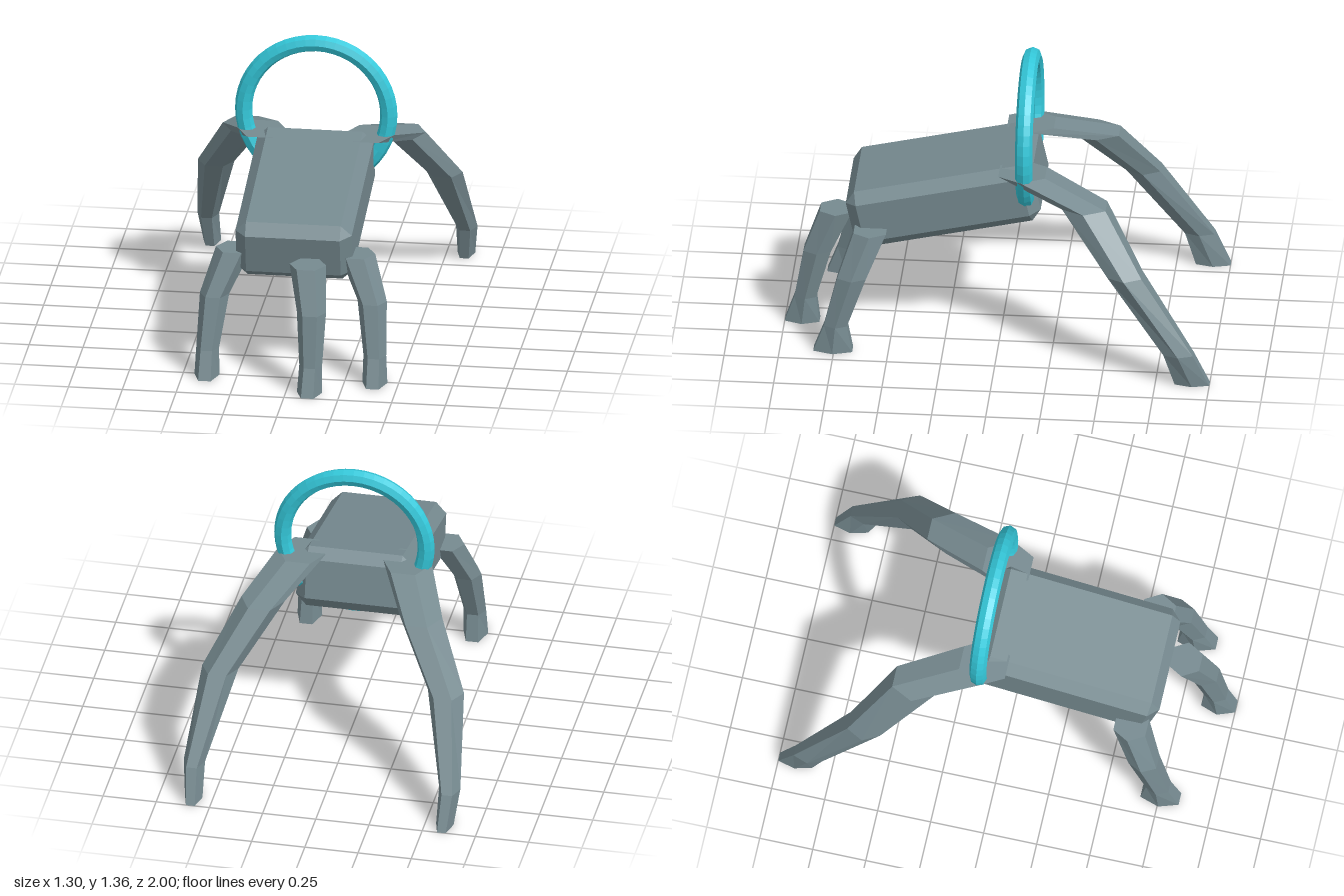
import * as THREE from 'three';
import { ConvexGeometry } from 'three/addons/geometries/ConvexGeometry.js';

const SIDES = 6;

// Box with every edge and corner chamfered by c (half sizes hx, hy, hz)
function chamferedBox(hx, hy, hz, c) {
  const points = [];
  for (const x of [-1, 1]) for (const y of [-1, 1]) for (const z of [-1, 1]) {
    points.push(
      new THREE.Vector3(x * hx, y * (hy - c), z * (hz - c)),
      new THREE.Vector3(x * (hx - c), y * hy, z * (hz - c)),
      new THREE.Vector3(x * (hx - c), y * (hy - c), z * hz));
  }
  return new ConvexGeometry(points);
}

// Six-sided limb through horizontal sections [x, y, z, half width, half depth], top to bottom
function limb(sections, side = 1) {
  const positions = [], index = [];
  for (const [x, y, z, hw, hd] of sections) {
    for (let j = 0; j < SIDES; j++) {
      const a = j / SIDES * Math.PI * 2;
      positions.push(side * x + Math.cos(a) * hw, y, z + Math.sin(a) * hd / Math.sin(Math.PI / 3));
    }
  }
  const last = (sections.length - 1) * SIDES;
  for (let i = 0; i < last; i += SIDES) {
    for (let j = 0; j < SIDES; j++) {
      const a = i + j, b = i + (j + 1) % SIDES;
      index.push(a, b, a + SIDES, b, b + SIDES, a + SIDES);
    }
  }
  for (let j = 1; j < SIDES - 1; j++) {
    index.push(0, j + 1, j, last, last + j, last + j + 1);
  }
  const geometry = new THREE.BufferGeometry();
  geometry.setAttribute('position', new THREE.Float32BufferAttribute(positions, 3));
  geometry.setIndex(index);
  const flat = geometry.toNonIndexed();
  flat.computeVertexNormals();
  return flat;
}

export function createModel() {
  const model = new THREE.Group();
  const grey = new THREE.MeshStandardMaterial({ color: 0x768a90, flatShading: true });
  grey.name = 'slate grey';
  const teal = new THREE.MeshStandardMaterial({ color: 0x34c8da, flatShading: true });
  teal.name = 'bright teal';

  const add = (name, geometry, material) => {
    const mesh = new THREE.Mesh(geometry, material);
    mesh.name = name;
    model.add(mesh);
    return mesh;
  };

  // Body slab, tipped down towards the front
  const body = add('body', chamferedBox(0.27, 0.145, 0.44, 0.05), grey);
  body.position.set(0, 0.674, 0.261);
  body.rotation.x = 0.22;

  // Upright ring around the rear of the body
  const ring = add('ring', new THREE.TorusGeometry(0.337, 0.04, 8, 48), teal);
  ring.position.set(0, 0.978, -0.12);

  // Single middle front leg, off centre
  add('middleFrontLeg', limb([
    [0.08, 0.57, 0.765, 0.085, 0.074],
    [0.108, 0.37, 0.85, 0.068, 0.063],
    [0.112, 0.13, 0.905, 0.053, 0.05],
    [0.108, 0, 0.92, 0.058, 0.08],
  ]), grey);

  // Paired side front legs and long rear legs
  const frontLeg = [
    [0.285, 0.57, 0.592, 0.085, 0.075],
    [0.366, 0.37, 0.67, 0.068, 0.066],
    [0.388, 0.13, 0.743, 0.053, 0.053],
    [0.39, 0, 0.755, 0.058, 0.09],
  ];
  const rearLeg = [
    [0.247, 0.883, -0.108, 0.115, 0.108],
    [0.37, 0.787, -0.405, 0.102, 0.1],
    [0.53, 0.52, -0.605, 0.085, 0.078],
    [0.6, 0.157, -0.857, 0.05, 0.068],
    [0.59, 0, -0.92, 0.041, 0.08],
  ];
  for (const [label, side] of [['left', 1], ['right', -1]]) {
    add(label + 'FrontLeg', limb(frontLeg, side), grey);
    add(label + 'RearLeg', limb(rearLeg, side), grey);
  }
  return model;
}
